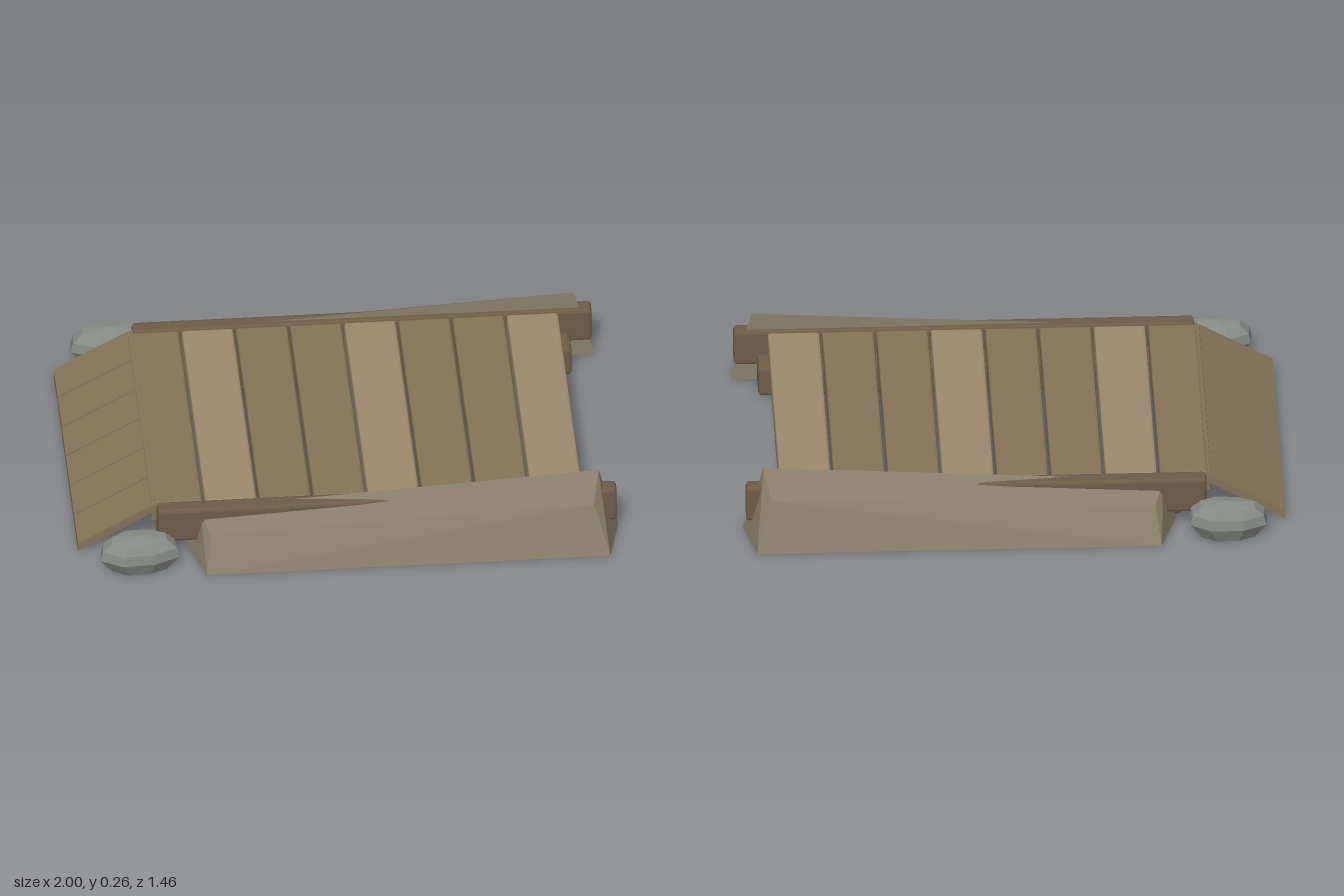
import * as THREE from 'three';
import { RoundedBoxGeometry } from 'three/addons/geometries/RoundedBoxGeometry.js';

const mat = (color) => new THREE.MeshStandardMaterial({ color, flatShading: true });
const lightWood = mat(0x9c8a6e);
const wood = mat(0x857458);
const darkWood = mat(0x6f5c47);
const earth = mat(0x877c67);
const rock = mat(0x888b86);

function add(parent, name, geometry, material) {
  const mesh = new THREE.Mesh(geometry, material);
  mesh.name = name;
  parent.add(mesh);
  return mesh;
}

// Chamfered timber given by its min and max on each axis
function timber(parent, name, [x0, x1], [y0, y1], [z0, z1], material, bevel = 0.012) {
  const geo = new RoundedBoxGeometry(x1 - x0, y1 - y0, z1 - z0, 1, bevel);
  const mesh = add(parent, name, geo, material);
  mesh.position.set((x0 + x1) / 2, (y0 + y1) / 2, (z0 + z1) / 2);
  return mesh;
}

// Earth bank lofted between a low and a high end section
function bankGeometry(side) {
  const low = [[-0.54, 0, 0.73], [-0.52, 0.12, 0.65], [-0.55, 0.18, 0.555], [-0.6, 0, 0.53]];
  const high = [[0.95, 0, 0.73], [0.895, 0.18, 0.65], [0.92, 0.265, 0.555], [0.995, 0, 0.53]];
  const points = [...low, ...high].flatMap(([x, y, z]) => [x, y, z * side]);
  const index = [0, 1, 2, 0, 2, 3, 4, 7, 6, 4, 6, 5];
  for (let i = 0; i < 4; i++) {
    const j = (i + 1) % 4;
    index.push(i, i + 4, j + 4, i, j + 4, j);
  }
  if (side < 0) index.reverse();
  const indexed = new THREE.BufferGeometry();
  indexed.setAttribute('position', new THREE.Float32BufferAttribute(points, 3));
  indexed.setIndex(index);
  const geo = indexed.toNonIndexed();
  geo.computeVertexNormals();
  return geo;
}

// Eight-sided boulder, flattened on top and slightly irregular
function boulderGeometry(side) {
  const profile = [[0, 0], [0.7, 0], [1, 0.4], [0.94, 0.68], [0.7, 0.92], [0, 1]]
    .map(([r, y]) => new THREE.Vector2(r, y));
  const geo = new THREE.LatheGeometry(profile, 8, Math.PI / 8);
  const p = geo.attributes.position;
  for (let i = 0; i < p.count; i++) {
    const x = p.getX(i), y = p.getY(i), z = p.getZ(i);
    const k = 1.04 + 0.04 * Math.sin(3 * Math.atan2(z, x) + side);
    p.setXYZ(i, x * k * 0.148, y * (0.14 + 0.006 * x), z * k * 0.077);
  }
  geo.computeVertexNormals();
  return geo;
}

export function createModel() {
  const model = new THREE.Group();
  model.name = 'plankBridge';

  // Deck planks laid across, every third one lighter
  const deck = new THREE.Group();
  deck.name = 'deck';
  model.add(deck);
  for (let i = 0; i < 8; i++) {
    const x = -0.73 + i * 0.2;
    timber(deck, 'deckPlank', [x, x + 0.19], [0.11, 0.195], [-0.535, 0.535],
      i % 3 === 1 ? lightWood : wood, 0.009);
  }

  // Sloping entry ramp of six short boards
  const ramp = new THREE.Group();
  ramp.name = 'ramp';
  model.add(ramp);
  const slope = new THREE.Shape([[-1, 0], [-0.71, 0.165], [-0.71, 0.2], [-1, 0.035]]
    .map(([x, y]) => new THREE.Vector2(x, y)));
  for (let i = 0; i < 6; i++) {
    const geo = new THREE.ExtrudeGeometry(slope, { depth: 0.175, bevelEnabled: false });
    add(ramp, 'rampBoard', geo, wood).position.z = -0.55 + i * 0.183;
  }

  // Supports, rails, banks and boulders on both sides
  for (const side of [-1, 1]) {
    const span = (a, b) => (side > 0 ? [a, b] : [-b, -a]);
    timber(model, 'runnerBeam', [-0.62, 0.9], [0.003, 0.12], span(0.4, 0.515), darkWood);
    timber(model, 'sideRail', [-0.71, 0.985], [0.06, 0.2], span(0.53, 0.595), darkWood);
    add(model, 'earthBank', bankGeometry(side), earth);
    add(model, 'boulder', boulderGeometry(side), rock).position.set(-0.785, 0, side * 0.655);
  }
  return model;
}
